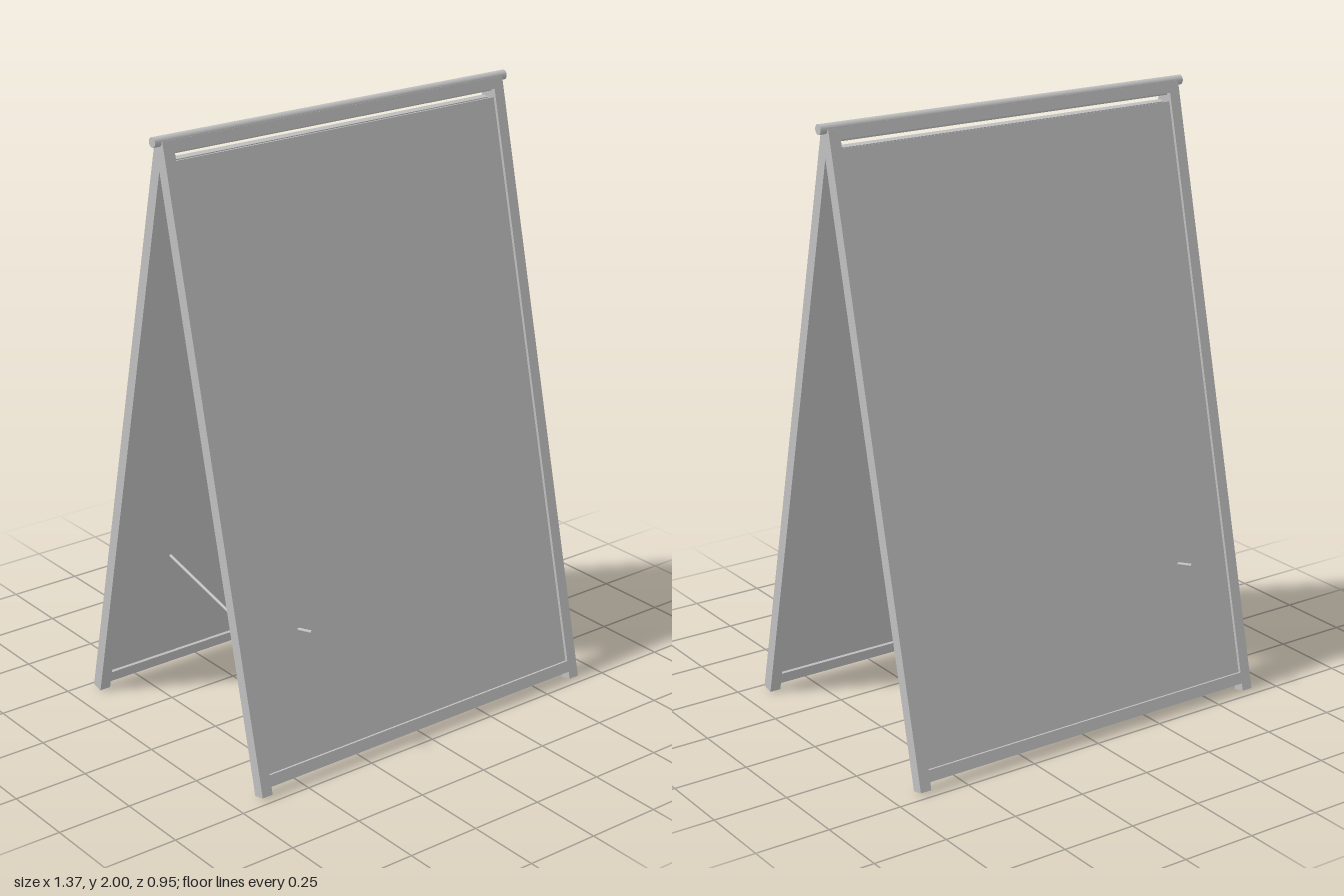
import * as THREE from 'three';

const TILT = Math.atan2(0.458, 1.978); // lean of each panel
const PIVOT_Y = 1.982;

export function createModel() {
  const model = new THREE.Group();
  model.name = 'foldingSignBoard';
  const grey = new THREE.MeshStandardMaterial({ color: 0xc0c0c0 });
  grey.name = 'metalGrey';

  // box spanning x0..x1 across and s0..s1 down the panel from the hinge
  function slab(parent, name, x0, x1, s0, s1, depth) {
    const mesh = new THREE.Mesh(new THREE.BoxGeometry(x1 - x0, s1 - s0, depth), grey);
    mesh.position.set((x0 + x1) / 2, -(s0 + s1) / 2, 0);
    mesh.name = name;
    parent.add(mesh);
  }

  // rod between two points
  function rod(name, a, b, radius, sides) {
    const dir = b.clone().sub(a);
    const mesh = new THREE.Mesh(new THREE.CylinderGeometry(radius, radius, dir.length(), sides), grey);
    mesh.position.copy(a).add(b).multiplyScalar(0.5);
    mesh.quaternion.setFromUnitVectors(new THREE.Vector3(0, 1, 0), dir.normalize());
    mesh.name = name;
    model.add(mesh);
  }

  // two framed panels leaning against each other
  for (const [side, sign] of [['front', 1], ['back', -1]]) {
    const panel = new THREE.Group();
    panel.name = side + 'Panel';
    panel.position.y = PIVOT_Y;
    panel.rotation.x = -sign * TILT;
    slab(panel, side + 'LeftLeg', 0.622, 0.66, 0, 2.03, 0.04);
    slab(panel, side + 'RightLeg', -0.66, -0.622, 0, 2.03, 0.04);
    slab(panel, side + 'TopRail', -0.622, 0.622, 0, 0.036, 0.04);
    slab(panel, side + 'BottomRail', -0.622, 0.622, 1.967, 2.005, 0.04);
    // recessed board, leaving a slit below the top rail
    slab(panel, side + 'Board', -0.622, 0.622, 0.063, 1.967, 0.02);
    model.add(panel);
  }

  // hinge tube along the top
  rod('hingeTube', new THREE.Vector3(-0.683, 1.984, 0), new THREE.Vector3(0.683, 1.984, 0), 0.016, 24);

  // folding stay that passes through both boards
  const knee = new THREE.Vector3(-0.43, 0.383, 0);
  for (const [side, sign] of [['front', 1], ['back', -1]]) {
    rod(side + 'Stay', knee, new THREE.Vector3(-0.43, 0.487, sign * 0.428), 0.005, 12);
  }
  return model;
}
